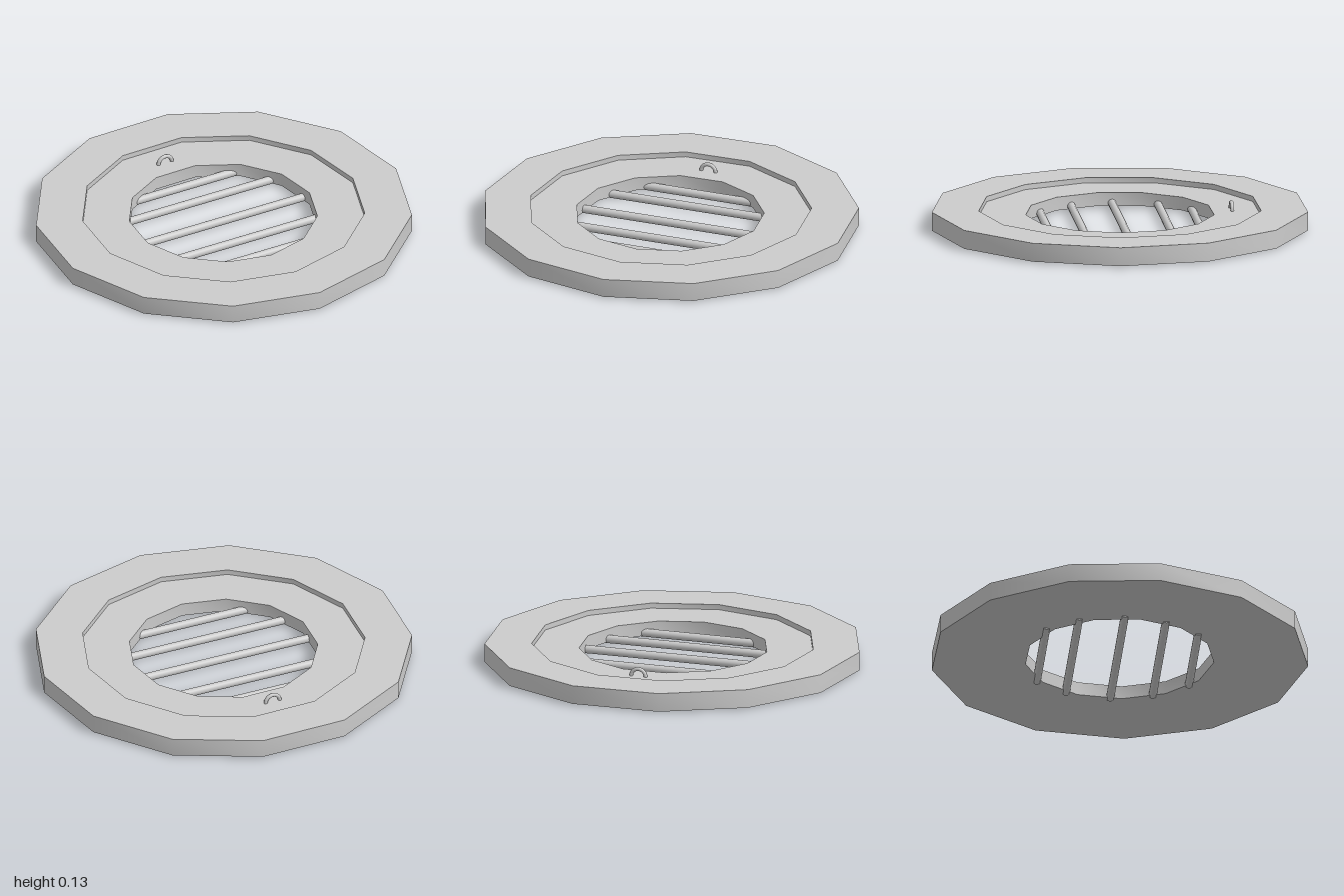
import * as THREE from 'three';
import { toCreasedNormals } from 'three/addons/utils/BufferGeometryUtils.js';

const SIDES = 13;
const RADIUS = 1.007;
const BOTTOM = 0.007, TOP = 0.107, COVER_TOP = 0.079;
const TILT = -THREE.MathUtils.degToRad(15); // shared turn of grate and handle

export function createModel() {
  const model = new THREE.Group();
  const material = new THREE.MeshStandardMaterial({ color: 0xcccccc });
  const centreZ = 0.015; // an odd polygon is not symmetric front to back

  const add = (parent, name, geometry) => {
    const mesh = new THREE.Mesh(geometry, material);
    mesh.name = name;
    parent.add(mesh);
    return mesh;
  };

  // Thirteen-sided rim with a sunken inner cover ring and a central hole
  const profile = [
    [0.504, BOTTOM], [RADIUS, BOTTOM], [RADIUS, TOP], [0.756, TOP],
    [0.756, COVER_TOP], [0.504, COVER_TOP], [0.504, BOTTOM],
  ].map(([x, y]) => new THREE.Vector2(x, y));
  const ring = new THREE.LatheGeometry(profile, SIDES, Math.PI);
  add(model, 'rimAndCoverRing', toCreasedNormals(ring, 0.8)).position.z = centreZ;

  // Parallel grate bars, each cut to the chord of the hole
  const grate = new THREE.Group();
  grate.name = 'grate';
  grate.rotation.y = TILT;
  model.add(grate);
  const barRadius = 0.022;
  for (const offset of [-0.4, -0.235, 0.005, 0.228, 0.41]) {
    const length = 2 * Math.sqrt(0.53 ** 2 - offset ** 2);
    const bar = add(grate, 'grateBar', new THREE.CylinderGeometry(barRadius, barRadius, length, 16));
    bar.rotation.z = Math.PI / 2;
    bar.position.set(0, barRadius, offset);
  }

  // Small arched pull handle standing on the cover ring
  const handle = add(model, 'handle', new THREE.TorusGeometry(0.041, 0.0105, 10, 20, Math.PI));
  handle.rotation.y = TILT;
  handle.position.set(0.142, COVER_TOP - 0.002, -0.565);

  return model;
}
